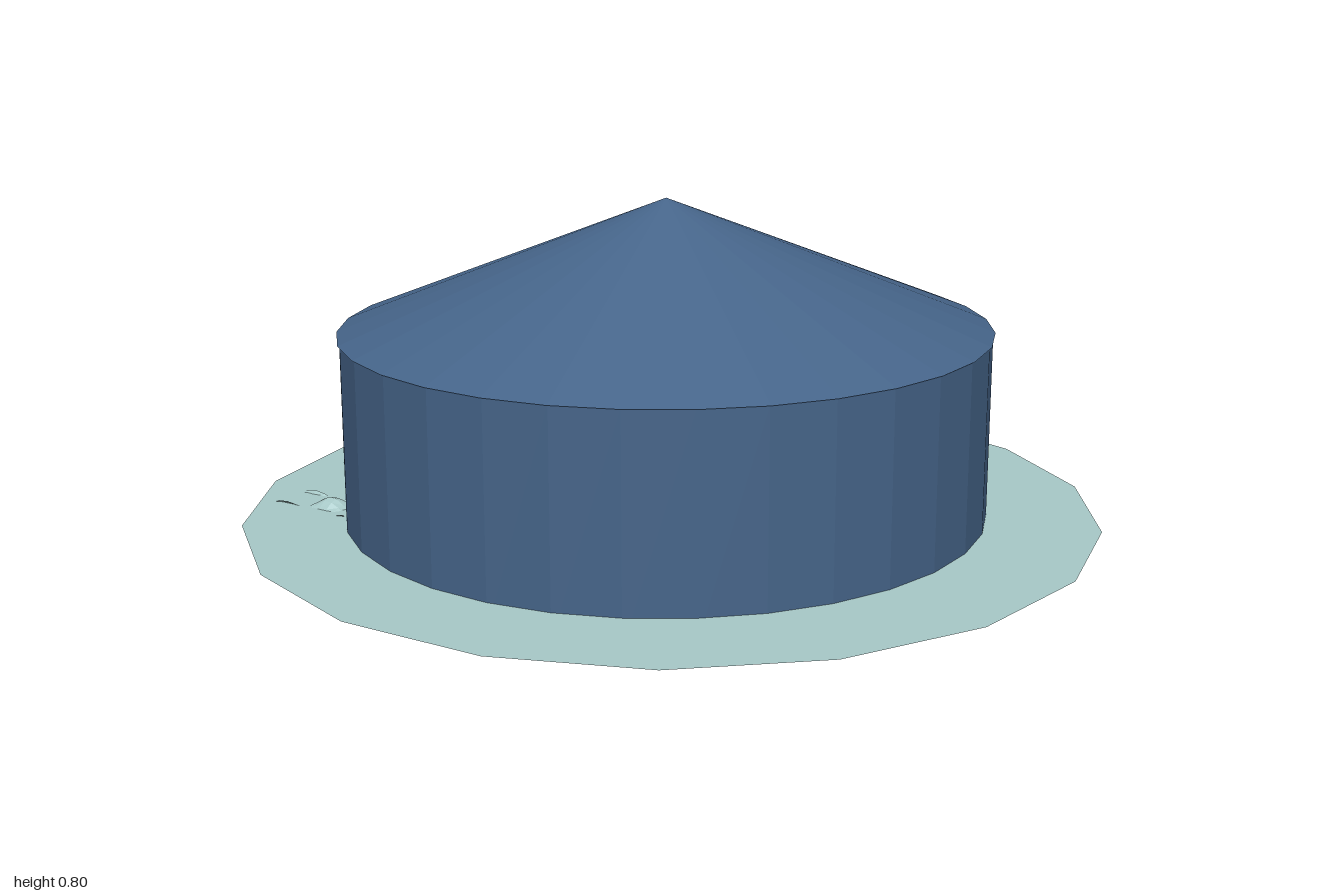
import * as THREE from 'three';

const mat = (name, color) => {
  const m = new THREE.MeshStandardMaterial({ color, flatShading: true, side: THREE.DoubleSide });
  m.name = name;
  return m;
};

export function createModel() {
  const group = new THREE.Group();
  const canvas = mat('canvas blue', 0x46658a);
  const ground = mat('ground sage', 0xa8c9c8);
  const rug = mat('rug teal', 0x7cc9cc);
  const pale = mat('pale trim', 0xd8ecea);

  const add = (name, geometry, material, x = 0, y = 0, z = 0) => {
    const mesh = new THREE.Mesh(geometry, material);
    mesh.name = name;
    mesh.position.set(x, y, z);
    group.add(mesh);
    return mesh;
  };

  // Tent: open round wall and a shallow conical roof
  const cx = -0.02;
  add('wall', new THREE.CylinderGeometry(0.75, 0.75, 0.5, 32, 1, true).scale(1, 1, 1.01), canvas, cx, 0.25, 0);
  add('roof', new THREE.ConeGeometry(0.755, 0.3, 32, 1, true).scale(1, 1, 1.01), canvas, cx, 0.65, 0);

  // Flat eighteen-sided ground sheet
  add('groundSheet', new THREE.CircleGeometry(1, 18).rotateX(-Math.PI / 2), ground, 0, 0.065, 0);

  // Rug lying on the sheet, its outer edge showing beyond the wall
  add('rug', new THREE.PlaneGeometry(0.84, 0.84).rotateX(-Math.PI / 2), rug, -0.37, 0.069, 0.02);

  // Creased cloths sagging through the ground sheet
  const cloth = (name, w, d, x, z, turn, phase) => {
    const g = new THREE.PlaneGeometry(w, d, 10, 6).rotateX(-Math.PI / 2);
    const p = g.attributes.position;
    for (let i = 0; i < p.count; i++) {
      const u = p.getX(i) / w, v = p.getZ(i) / d;
      p.setY(i, 0.025 * Math.sin(u * 7 + phase) * Math.cos(v * 4));
    }
    g.computeVertexNormals();
    add(name, g, ground, x, 0.062, z).rotation.y = turn;
  };
  cloth('clothLeft', 0.32, 0.2, 0.25, 0.25, 0.8, 0);
  cloth('clothBack', 0.4, 0.2, -0.04, -0.24, 0.6, 1.2);
  cloth('clothFront', 0.36, 0.24, -0.18, 0.32, 0.2, 2.4);
  cloth('clothOuter', 0.22, 0.1, -0.53, 0.64, 0.3, 0.6);

  // Curved pale strips under the sheet, inside the wall
  const strip = (name, inner, outer, start, sweep) => add(name,
    new THREE.RingGeometry(inner, outer, 16, 1, start, sweep).rotateX(Math.PI / 2), pale, cx, 0.063, 0);
  strip('floorStripLeft', 0.64, 0.67, -0.45, 1.05);
  strip('floorStripFront', 0.725, 0.737, 0.85, 1.4);
  strip('floorStripRight', 0.725, 0.737, 2.45, 0.6);

  return group;
}
